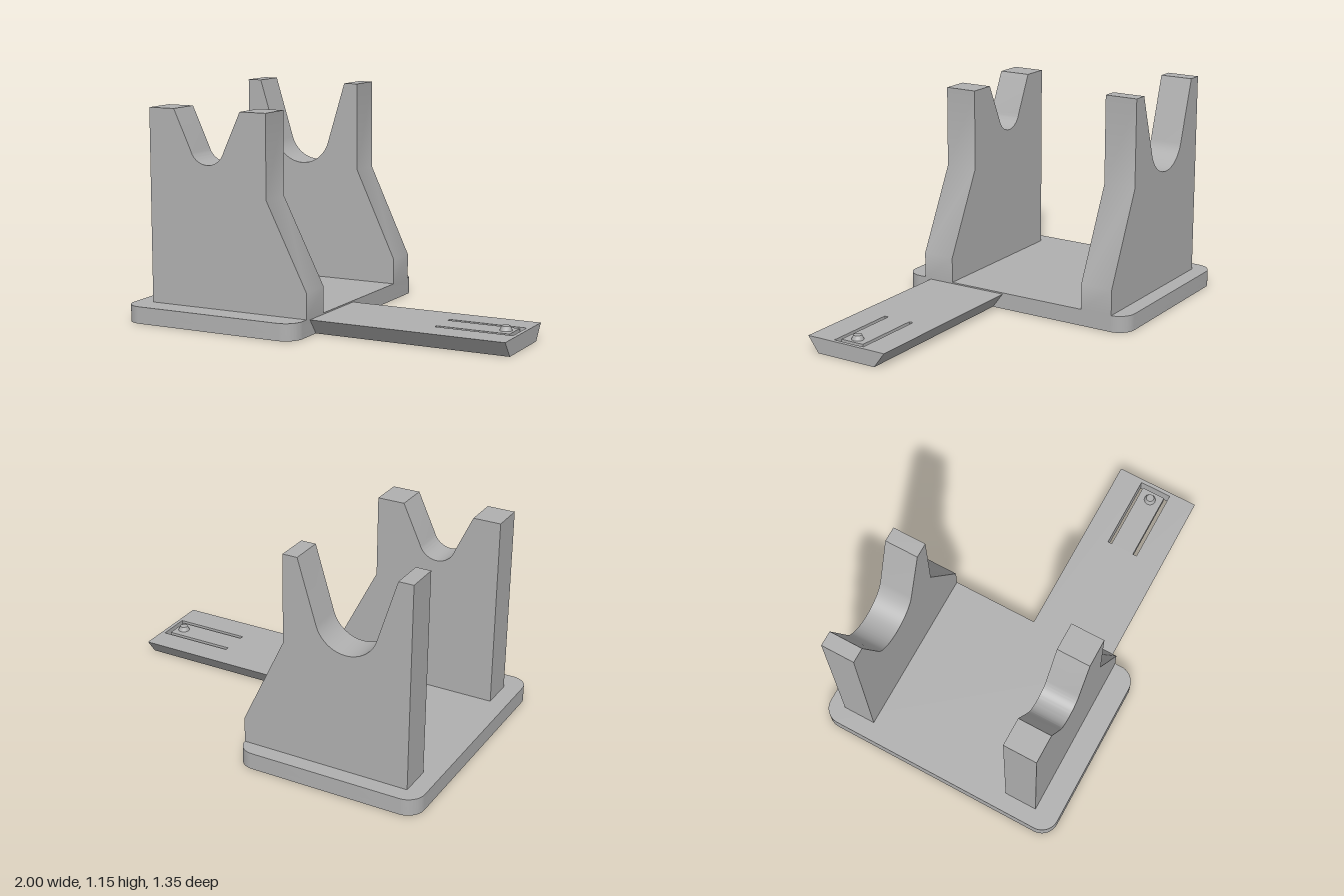
import * as THREE from 'three';
import { toCreasedNormals } from 'three/addons/utils/BufferGeometryUtils.js';

const grey = new THREE.MeshStandardMaterial({ color: 0xb0b0b0 });
grey.name = 'grey plastic';

function addPart(group, name, geometry) {
  const mesh = new THREE.Mesh(toCreasedNormals(geometry, 0.5), grey);
  mesh.name = name;
  group.add(mesh);
}

const extrude = (shape, depth) =>
  new THREE.ExtrudeGeometry(shape, { depth, bevelEnabled: false, curveSegments: 16 });

// Horizontal slab: the shape is drawn in x and z, and fills y0 to y1
const slab = (shape, y0, y1) =>
  extrude(shape, y1 - y0).rotateX(Math.PI / 2).translate(0, y1, 0);

const polygon = (points, Type = THREE.Shape) =>
  new Type(points.map(([x, y]) => new THREE.Vector2(x, y)));

function roundedRect(x0, x1, z0, z1, r) {
  const s = new THREE.Shape();
  s.absarc(x1 - r, z1 - r, r, 0, Math.PI / 2);
  s.absarc(x0 + r, z1 - r, r, Math.PI / 2, Math.PI);
  s.absarc(x0 + r, z0 + r, r, Math.PI, Math.PI * 1.5);
  s.absarc(x1 - r, z0 + r, r, Math.PI * 1.5, Math.PI * 2);
  s.closePath();
  return s;
}

const BASE_TOP = 0.087;
const NOTCH_X = -0.575;

// Upright plate with a round-bottomed V notch and a sloping buttress
function upright({ top, shoulder, notchHalf, radius, centreY, z0, z1 }) {
  const tilt = 0.3; // angle of the notch sides from vertical
  const s = new THREE.Shape();
  s.moveTo(-0.91, BASE_TOP);
  s.lineTo(-0.02, BASE_TOP);
  s.lineTo(-0.02, 0.22);
  s.lineTo(-0.24, shoulder);
  s.lineTo(-0.24, top);
  s.lineTo(NOTCH_X + notchHalf, top);
  s.absarc(NOTCH_X, centreY, radius, -tilt, -Math.PI + tilt, true);
  s.lineTo(NOTCH_X - notchHalf, top);
  s.lineTo(-0.91, top);
  s.closePath();
  return extrude(s, z1 - z0).translate(0, 0, z0);
}

// Arm layer whose long sides lean inwards towards the bottom
function armLayer(holePoints, y0, y1) {
  const mid = 0.284, half = 0.228, height = 0.08, lean = 0.06;
  const s = polygon([[-0.02, mid - half], [1, mid - half], [1, mid + half], [-0.02, mid + half]]);
  s.holes.push(polygon(holePoints, THREE.Path));
  const g = slab(s, y0, y1);
  const p = g.attributes.position;
  for (let i = 0; i < p.count; i++) {
    const dz = p.getZ(i) - mid;
    if (Math.abs(dz) > 0.2) {
      p.setZ(i, mid + Math.sign(dz) * (half - lean * (1 - p.getY(i) / height)));
    }
  }
  g.computeVertexNormals();
  return g;
}

export function createModel() {
  const model = new THREE.Group();
  model.name = 'cradle stand';

  // Base plate with two round recesses underneath
  const outline = () => roundedRect(-1, -0.02, -0.675, 0.675, 0.09);
  const lower = outline();
  for (const z of [-0.42, 0.42]) {
    const hole = new THREE.Path();
    hole.absarc(-0.635, z, 0.117, 0, Math.PI * 2, true);
    lower.holes.push(hole);
  }
  addPart(model, 'basePlateUnderside', slab(lower, 0, 0.03));
  addPart(model, 'basePlateTop', slab(outline(), 0.03, BASE_TOP));

  // Cradle uprights
  addPart(model, 'frontUpright', upright({
    top: 1.08, shoulder: 0.655, notchHalf: 0.19, radius: 0.1, centreY: 0.907, z0: 0.372, z1: 0.547,
  }));
  addPart(model, 'backUpright', upright({
    top: 1.15, shoulder: 0.69, notchHalf: 0.258, radius: 0.165, centreY: 0.875, z0: -0.59, z1: -0.415,
  }));

  // Dovetail arm: pocket below, U-shaped slot above that frees a spring tongue
  addPart(model, 'armLower', armLayer(
    [[0.58, 0.193], [0.58, 0.367], [0.98, 0.367], [0.98, 0.193]], 0, 0.04));
  addPart(model, 'armUpper', armLayer(
    [[0.58, 0.193], [0.98, 0.193], [0.98, 0.367], [0.58, 0.367],
      [0.58, 0.345], [0.955, 0.345], [0.955, 0.215], [0.58, 0.215]], 0.04, 0.08));

  // Catch button on the tongue
  addPart(model, 'catchButton',
    new THREE.CylinderGeometry(0.021, 0.031, 0.023, 24).translate(0.91, 0.0915, 0.28));

  return model;
}
